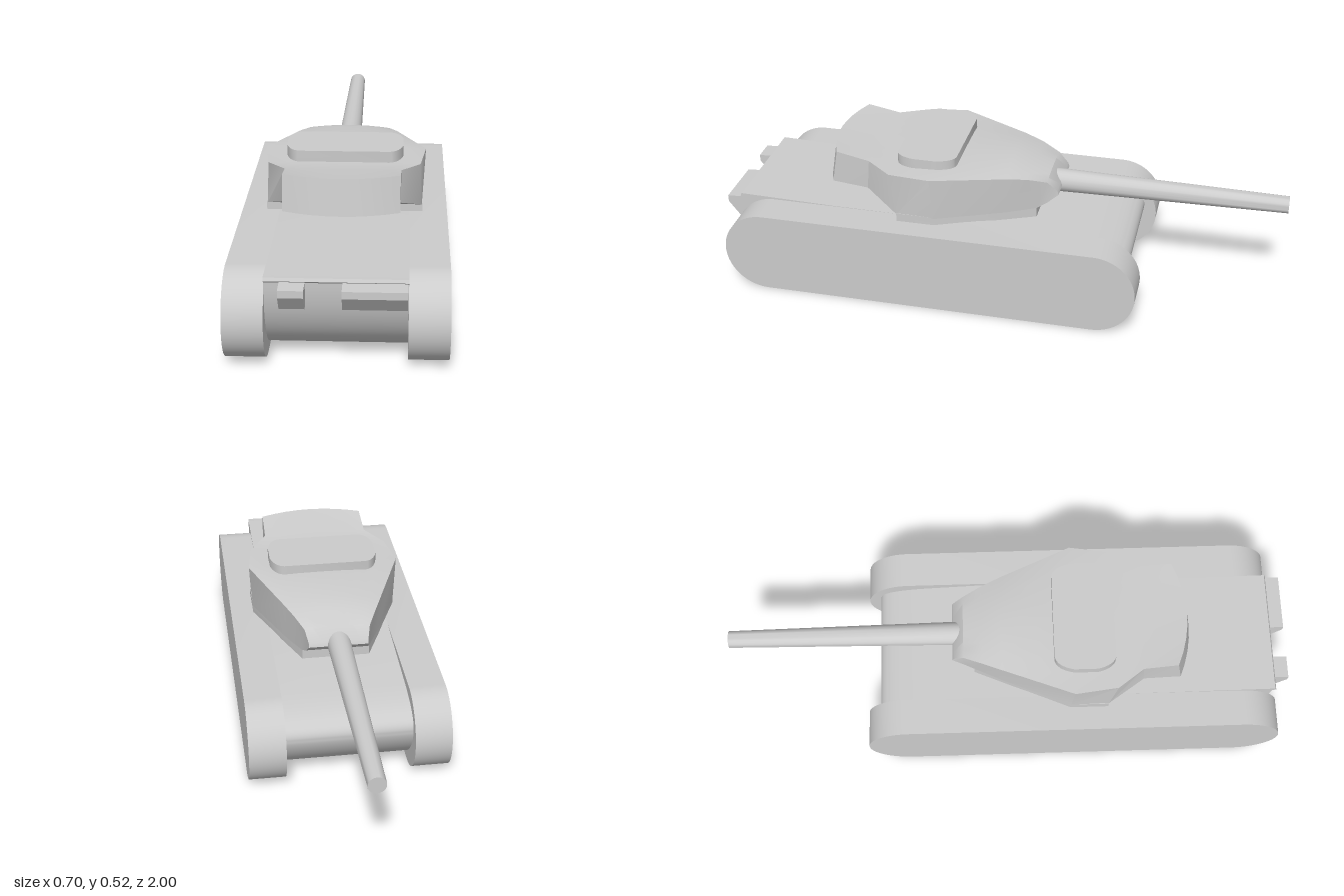
import * as THREE from 'three';
import { toCreasedNormals } from 'three/addons/utils/BufferGeometryUtils.js';

const material = new THREE.MeshStandardMaterial({ color: 0xcccccc });

function add(group, name, geometry, crease = 0.6) {
  const mesh = new THREE.Mesh(toCreasedNormals(geometry, crease), material);
  mesh.name = name;
  group.add(mesh);
  return mesh;
}

// Extrudes a side profile drawn in (z, y) from x0 to x1
function sideExtrude(shape, x0, x1) {
  return new THREE.ExtrudeGeometry(shape, { depth: x1 - x0, bevelEnabled: false, curveSegments: 20 })
    .rotateY(-Math.PI / 2).translate(x1, 0, 0);
}

// Extrudes a plan outline drawn in (x, -z) from y0 to y1
function planExtrude(shape, y0, y1) {
  return new THREE.ExtrudeGeometry(shape, { depth: y1 - y0, bevelEnabled: false, curveSegments: 8 })
    .rotateX(-Math.PI / 2).translate(0, y0, 0);
}

const polygon = (points) => new THREE.Shape(points.map(([a, b]) => new THREE.Vector2(a, b)));

// Turret body: top and bottom columns lofted along z
function turretGeometry() {
  // z top, z bottom, half-width top, y top edge, y top centre, half-width bottom, y bottom, rearward bulge
  const stations = [
    [-0.2, -0.205, 0.105, 0.4, 0.4, 0.105, 0.385, 0],
    [-0.165, -0.165, 0.115, 0.435, 0.442, 0.11, 0.35, 0],
    [-0.1, -0.13, 0.145, 0.455, 0.465, 0.12, 0.33, 0],
    [-0.03, -0.03, 0.175, 0.465, 0.485, 0.165, 0.325, 0],
    [0.22, 0.21, 0.275, 0.483, 0.487, 0.265, 0.325, 0],
    [0.37, 0.345, 0.255, 0.478, 0.48, 0.262, 0.325, 0],
    [0.46, 0.47, 0.192, 0.487, 0.487, 0.19, 0.377, 0],
    [0.578, 0.598, 0.19, 0.51, 0.51, 0.19, 0.39, 0.042],
  ];
  const n = 9, ring = 2 * n, position = [], index = [];
  for (const [zt, zb, wt, yEdge, yMid, wb, yb, bulge] of stations) {
    for (let i = 0; i < ring; i++) {
      const top = i < n;
      const u = top ? -1 + 2 * i / (n - 1) : 1 - 2 * (i - n) / (n - 1);
      const arc = 1 - u * u;
      position.push(u * (top ? wt : wb), top ? yEdge + (yMid - yEdge) * arc : yb, (top ? zt : zb) + bulge * arc);
    }
  }
  const quad = (a, b, c, d) => index.push(a, b, c, a, c, d);
  for (let s = 0; s < stations.length - 1; s++) {
    for (let i = 0; i < ring; i++) {
      const j = (i + 1) % ring, a = s * ring, b = a + ring;
      quad(a + i, b + i, b + j, a + j);
    }
  }
  // Front and rear faces
  const last = (stations.length - 1) * ring;
  for (let i = 0; i < n - 1; i++) {
    const low = ring - 1 - i;
    quad(last + i, last + low, last + low - 1, last + i + 1);
    quad(i, i + 1, low - 1, low);
  }
  const geometry = new THREE.BufferGeometry();
  geometry.setAttribute('position', new THREE.Float32BufferAttribute(position, 3));
  geometry.setIndex(index);
  return geometry;
}

export function createModel() {
  const model = new THREE.Group();
  model.name = 'tank';

  // Tracks with round ends
  const track = new THREE.Shape();
  track.moveTo(-0.37, 0);
  track.lineTo(0.82, 0);
  track.absarc(0.82, 0.15, 0.15, -Math.PI / 2, Math.PI / 2, false);
  track.lineTo(-0.37, 0.3);
  track.absarc(-0.37, 0.15, 0.15, Math.PI / 2, Math.PI * 1.5, false);
  add(model, 'leftTrack', sideExtrude(track, 0.22, 0.348));
  add(model, 'rightTrack', sideExtrude(track, -0.348, -0.22));

  // Hull with rounded nose and tail, and a lip at the rear of the deck
  const hull = new THREE.Shape();
  hull.moveTo(-0.28, 0.001);
  hull.lineTo(0.7, 0.001);
  hull.bezierCurveTo(0.84, 0.01, 0.93, 0.13, 0.935, 0.29);
  hull.lineTo(0.95, 0.3);
  hull.lineTo(0.945, 0.31);
  hull.lineTo(0.6, 0.302);
  hull.lineTo(0.06, 0.299);
  hull.lineTo(-0.3, 0.27);
  hull.bezierCurveTo(-0.4, 0.26, -0.475, 0.24, -0.475, 0.19);
  hull.bezierCurveTo(-0.475, 0.13, -0.39, 0.01, -0.28, 0.001);
  add(model, 'hull', sideExtrude(hull, -0.22, 0.22));

  // Wedge brackets on the tail
  const bracket = polygon([[0.92, 0.21], [0.96, 0.215], [1, 0.268], [1, 0.292], [0.92, 0.296]]);
  add(model, 'rightTailBracket', sideExtrude(bracket, -0.172, -0.094));
  add(model, 'leftTailBracket', sideExtrude(bracket, 0.02, 0.217));

  // Turret ring, body and roof hatch
  const turret = new THREE.Group();
  turret.name = 'turret';
  model.add(turret);
  const collar = polygon([[-0.12, 0.13], [-0.265, -0.21], [-0.265, -0.345], [0.265, -0.345], [0.265, -0.21], [0.12, 0.13]]);
  add(turret, 'turretRing', planExtrude(collar, 0.295, 0.33));
  add(turret, 'turretBody', turretGeometry(), 0.5);

  const hatch = new THREE.Shape();
  hatch.moveTo(-0.15, -0.107);
  hatch.lineTo(0.15, -0.107);
  hatch.quadraticCurveTo(0.185, -0.1, 0.197, -0.04);
  hatch.lineTo(0.197, 0.04);
  hatch.quadraticCurveTo(0.185, 0.1, 0.15, 0.107);
  hatch.lineTo(-0.15, 0.107);
  hatch.quadraticCurveTo(-0.185, 0.1, -0.197, 0.04);
  hatch.lineTo(-0.197, -0.04);
  hatch.quadraticCurveTo(-0.185, -0.1, -0.15, -0.107);
  add(turret, 'roofHatch', planExtrude(hatch, 0.46, 0.518).translate(0, 0, 0.258));

  // Tapered gun barrel
  const barrel = new THREE.CylinderGeometry(0.042, 0.03, 0.85, 24).rotateX(Math.PI / 2);
  add(turret, 'gunBarrel', barrel).position.set(-0.003, 0.385, -0.575);

  return model;
}
